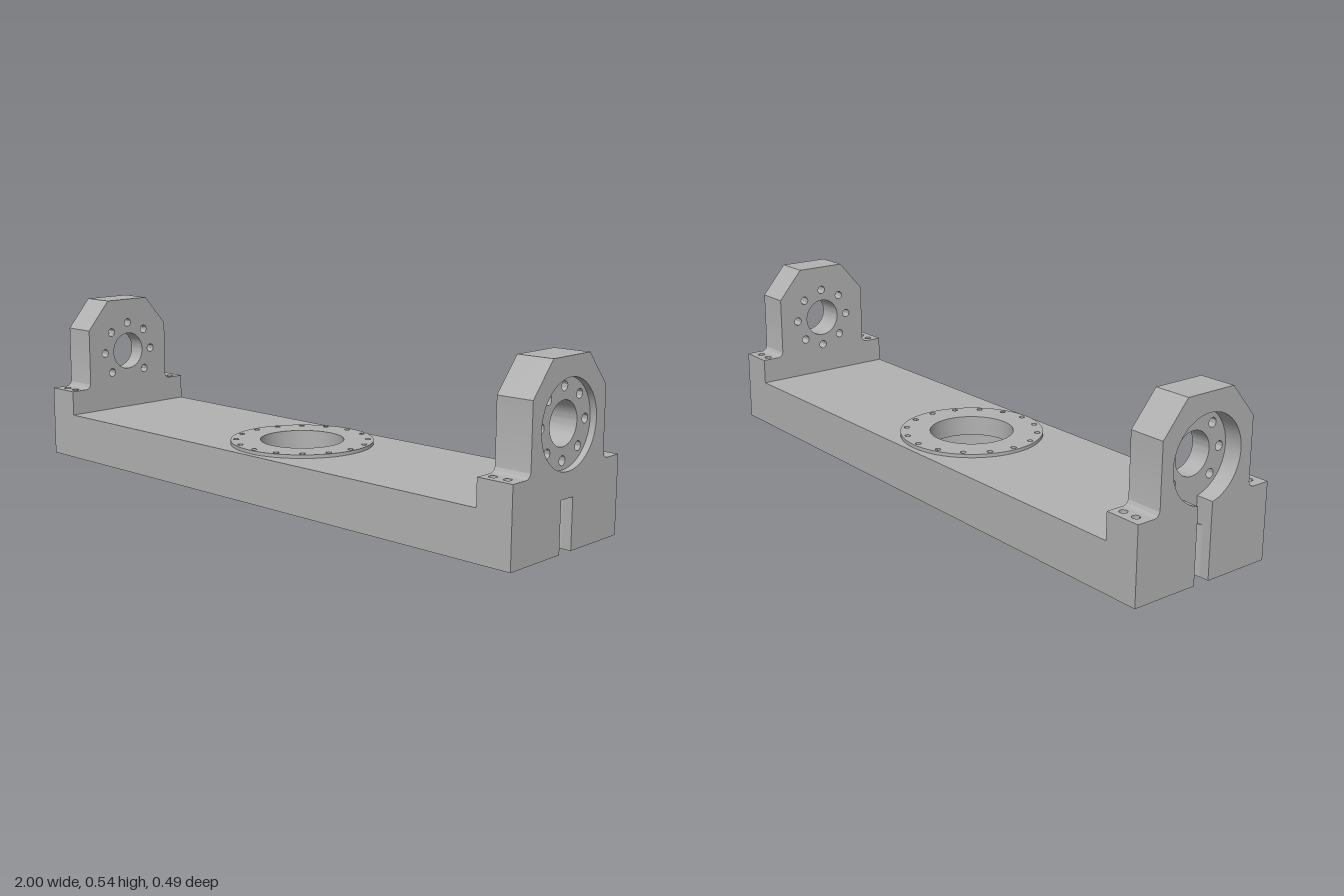
import * as THREE from 'three';
import { toCreasedNormals } from 'three/addons/utils/BufferGeometryUtils.js';

const W = 0.247, TOP = 0.152, FLOOR = 0.1, INNER = 0.885;   // half width, deck top, pocket roof, upright inner face
const BORE_Y = 0.355, SHOULDER = 0.235, GROOVE = 0.0275;

const circle = (x, y, r) => new THREE.Path().absarc(x, y, r, 0, Math.PI * 2, false);

const polarHoles = (n, cx, cy, radius, r, keep = () => true) =>
  Array.from({ length: n }, (_, i) => i).filter(keep).map((i) => {
    const a = (i / n) * Math.PI * 2;
    return circle(cx + Math.cos(a) * radius, cy + Math.sin(a) * radius, r);
  });

// Slot elongated along x
function slot(x, y, half, r) {
  const p = new THREE.Path();
  p.absarc(x + half, y, r, -Math.PI / 2, Math.PI / 2, false);
  p.absarc(x - half, y, r, Math.PI / 2, Math.PI * 1.5, false);
  p.closePath();
  return p;
}

// Plan outline of the bed, with a round-backed groove in each end
function bedOutline() {
  const s = new THREE.Shape();
  s.moveTo(-1, -W);
  s.lineTo(1, -W);
  s.lineTo(1, -GROOVE);
  s.absarc(0.972, 0, GROOVE, -Math.PI / 2, Math.PI / 2, true);
  s.lineTo(1, GROOVE);
  s.lineTo(1, W);
  s.lineTo(-1, W);
  s.lineTo(-1, GROOVE);
  s.absarc(-0.972, 0, GROOVE, Math.PI / 2, -Math.PI / 2, true);
  s.lineTo(-1, -GROOVE);
  s.closePath();
  return s;
}

// Underside pocket: long side, rounded far corners, arc around the centre bore
function pocket(sx, sz) {
  const R = 0.262, z0 = 0.018, z1 = 0.228, x1 = 0.86, c = 0.03, pts = [];
  const a0 = Math.asin(z0 / R), a1 = Math.asin(z1 / R);
  const arc = (cx, cy, r, from, to, n) => {
    for (let i = 0; i <= n; i++) {
      const a = from + ((to - from) * i) / n;
      pts.push(new THREE.Vector2(sx * (cx + r * Math.cos(a)), sz * (cy + r * Math.sin(a))));
    }
  };
  arc(0, 0, R, a0, a1, 16);
  arc(x1 - c, z1 - c, c, Math.PI / 2, 0, 8);
  arc(x1 - c, z0 + c, c, 0, -Math.PI / 2, 8);
  return new THREE.Path(pts);
}

// Side profile of an upright; an optional cable groove opens up into the bearing recess
function uprightProfile(recess, grooved) {
  const s = new THREE.Shape(), w = 0.17, f = 0.02;
  s.moveTo(w, TOP);
  s.lineTo(w, SHOULDER);
  s.lineTo(w + f, SHOULDER);
  s.absarc(w + f, SHOULDER + f, f, -Math.PI / 2, -Math.PI, true);
  s.lineTo(w, 0.442);
  s.lineTo(0.085, 0.541);
  s.lineTo(-0.085, 0.541);
  s.lineTo(-w, 0.442);
  s.lineTo(-w, SHOULDER + f);
  s.absarc(-w - f, SHOULDER + f, f, 0, -Math.PI / 2, true);
  s.lineTo(-w, SHOULDER);
  s.lineTo(-w, TOP);
  if (grooved) {
    const a = Math.asin(GROOVE / recess);
    s.lineTo(-GROOVE, TOP);
    s.absarc(0, BORE_Y, recess, -Math.PI / 2 - a, -Math.PI / 2 + a - Math.PI * 2, true);
    s.lineTo(GROOVE, TOP);
  } else {
    s.holes.push(circle(0, BORE_Y, recess));
  }
  s.closePath();
  return s;
}

export function createModel() {
  const model = new THREE.Group();
  model.name = 'machineBed';
  const metal = new THREE.MeshStandardMaterial({ color: 0xb2b2b2 });
  metal.name = 'grey metal';

  const extrude = (name, shape, depth) => {
    const g = new THREE.ExtrudeGeometry(shape, { depth, bevelEnabled: false, curveSegments: 32 });
    const mesh = new THREE.Mesh(g, metal);
    mesh.name = name;
    model.add(mesh);
    return mesh;
  };
  const slabY = (name, shape, y0, y1) => {
    const m = extrude(name, shape, y1 - y0);
    m.geometry = toCreasedNormals(m.geometry.rotateX(-Math.PI / 2).translate(0, y0, 0), 0.5);
  };
  const slabX = (name, shape, x0, x1) => {
    const m = extrude(name, shape, x1 - x0);
    m.geometry = toCreasedNormals(m.geometry.rotateY(Math.PI / 2).translate(x0, 0, 0), 0.5);
  };
  const sides = [-1, 1];
  const shoulderHoles = (sx, sz) => [0.913, 0.96].map((x) => circle(sx * x, sz * 0.215, 0.012));

  // Ribbed underside with centre bore, pockets and end slots
  const ribs = bedOutline();
  ribs.holes.push(circle(0, 0, 0.235));
  // Deck plate with through holes
  const deck = bedOutline();
  deck.holes.push(circle(0, 0, 0.133), ...polarHoles(16, 0, 0, 0.21, 0.009));
  for (const sx of sides) for (const sz of sides) {
    ribs.holes.push(pocket(sx, sz), slot(sx * 0.936, sz * 0.07, 0.022, 0.027), slot(sx * 0.936, sz * 0.203, 0.022, 0.027));
    deck.holes.push(...shoulderHoles(sx, sz));
  }
  slabY('ribbedUnderside', ribs, 0, FLOOR);
  slabY('deckPlate', deck, FLOOR, TOP);

  // Raised mounting ring
  const ring = new THREE.Shape().absarc(0, 0, 0.228, 0, Math.PI * 2, false);
  ring.holes.push(circle(0, 0, 0.133), ...polarHoles(16, 0, 0, 0.21, 0.009));
  slabY('mountingRing', ring, TOP, 0.163);

  for (const sx of sides) {
    // Drilled shoulders beside each upright
    for (const sz of sides) {
      const xs = [sx * INNER, sx], zs = [sz * 0.17, sz * W];
      const s = new THREE.Shape([[0, 0], [1, 0], [1, 1], [0, 1]].map(([i, j]) => new THREE.Vector2(xs[i], zs[j])));
      s.holes.push(...shoulderHoles(sx, sz));
      slabY('shoulder', s, TOP, SHOULDER);
    }
    // Upright: bolted flange web inside, bearing recess outside
    const side = sx > 0 ? 'left' : 'right';
    const split = sx > 0 ? 0.98 : 0.945;
    const web = uprightProfile(0.064, false);
    web.holes.push(...polarHoles(8, 0, BORE_Y, 0.102, 0.0138, (i) => sx > 0 || i !== 6));
    const rim = uprightProfile(0.128, sx < 0);
    if (sx > 0) {
      slabX(side + 'UprightWeb', web, INNER, split);
      slabX(side + 'UprightRim', rim, split, 1);
    } else {
      slabX(side + 'UprightWeb', web, -split, -INNER);
      slabX(side + 'UprightRim', rim, -1, -split);
    }
  }
  return model;
}
